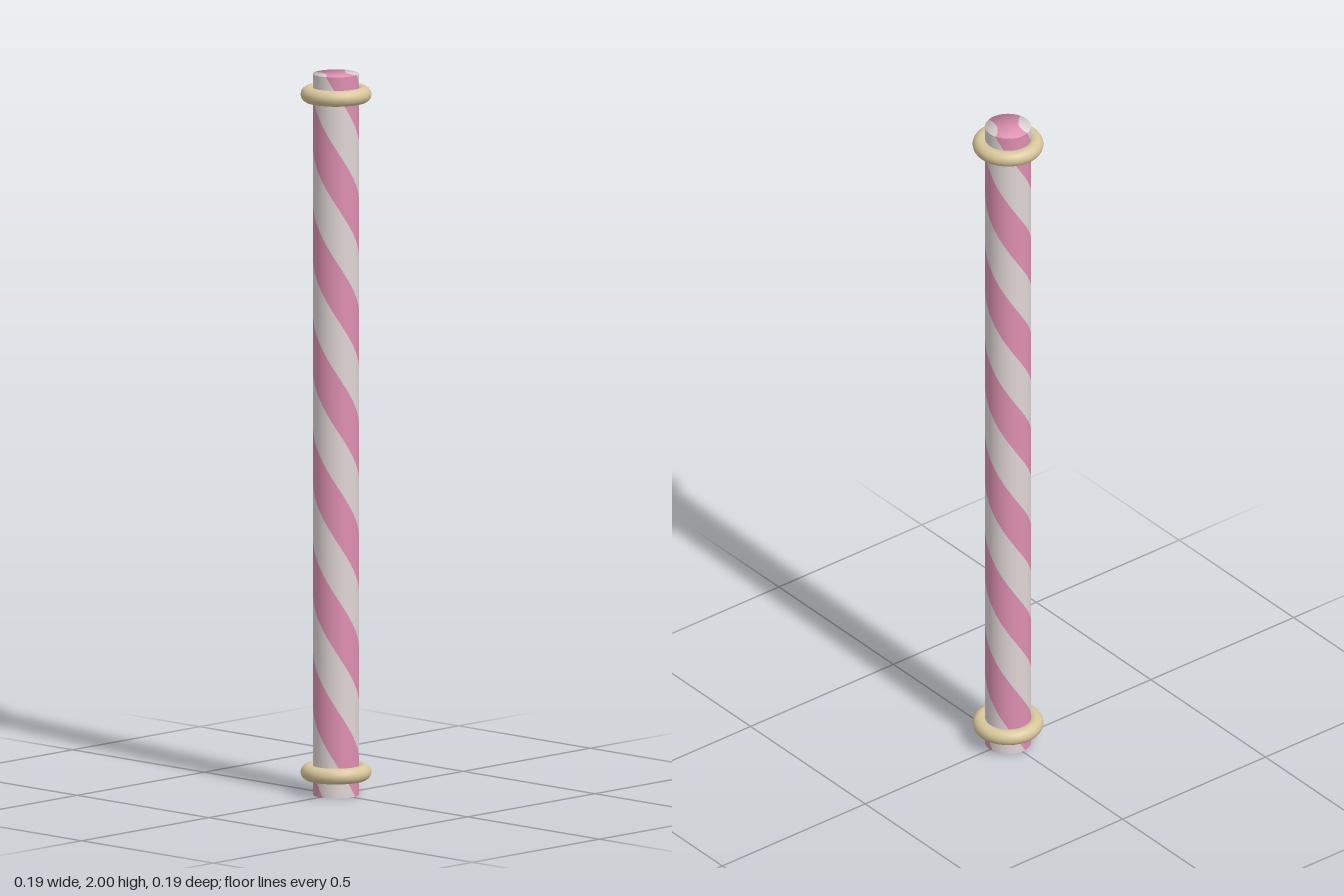
import * as THREE from 'three';

const R = 0.063, H = 2, LEAD = 0.62;
const TOP_START = THREE.MathUtils.degToRad(18); // where a pink stripe begins at the top rim

// Quarter of a tube wall, twisted into a helical ribbon
function ribbon(start) {
  const g = new THREE.CylinderGeometry(R, R, H, 10, 120, true, start, Math.PI / 2);
  g.translate(0, H / 2, 0);
  const p = g.attributes.position, n = g.attributes.normal;
  const v = new THREE.Vector3(), up = new THREE.Vector3(0, 1, 0);
  for (let i = 0; i < p.count; i++) {
    const turn = (H - p.getY(i)) / LEAD * Math.PI * 2;
    for (const a of [p, n]) {
      v.fromBufferAttribute(a, i).applyAxisAngle(up, turn);
      a.setXYZ(i, v.x, v.y, v.z);
    }
  }
  return g;
}

const at = (angle, r) => [Math.cos(angle) * r, Math.sin(angle) * r];

// Rim patch spanning a quarter circle, bulging in towards the centre
function patchShape(mid) {
  const a = mid - Math.PI / 4, b = mid + Math.PI / 4;
  const s = new THREE.Shape();
  s.moveTo(...at(a, R));
  s.absarc(0, 0, R, a, b, false);
  s.quadraticCurveTo(...at(mid, 0.0155), ...at(a, R));
  return s;
}

// Band left between the two patches
function bandShape(mid) {
  const q = Math.PI / 4;
  const s = new THREE.Shape();
  s.moveTo(...at(mid + q, R));
  s.absarc(0, 0, R, mid + q, mid + 3 * q, false);
  s.quadraticCurveTo(...at(mid + Math.PI, 0.0155), ...at(mid + 5 * q, R));
  s.absarc(0, 0, R, mid + 5 * q, mid + 7 * q, false);
  s.quadraticCurveTo(...at(mid, 0.0155), ...at(mid + q, R));
  return s;
}

// Flat end face whose normals blend softly into the wall
function capGeometry(shapes, y, dir) {
  const g = new THREE.ShapeGeometry(shapes, 14);
  g.rotateX(-dir * Math.PI / 2);
  const p = g.attributes.position, v = new THREE.Vector3();
  for (let i = 0; i < p.count; i++) {
    v.set(p.getX(i) / R, dir, p.getZ(i) / R).normalize();
    g.attributes.normal.setXYZ(i, v.x, v.y, v.z);
  }
  g.translate(0, y, 0);
  return g;
}

export function createModel() {
  const mat = (name, color) => {
    const m = new THREE.MeshStandardMaterial({ color });
    m.name = name;
    return m;
  };
  const pink = mat('pink', 0xdd8fb0);
  const white = mat('warm white', 0xdfd6d5);
  const gold = mat('pale gold', 0xd8c79c);

  const model = new THREE.Group();
  model.name = 'stripedPole';
  const add = (name, geometry, material) => {
    const m = new THREE.Mesh(geometry, material);
    m.name = name;
    model.add(m);
    return m;
  };

  // Pole wall: alternating helical stripes
  for (let i = 0; i < 4; i++) {
    add(i % 2 ? 'whiteStripe' : 'pinkStripe',
      ribbon(TOP_START + i * Math.PI / 2), i % 2 ? white : pink);
  }

  // End faces: pink band with white patches on top, the reverse below
  const topMid = TOP_START + Math.PI / 4;
  const bottomMid = -(TOP_START + Math.PI / 4 + H / LEAD * Math.PI * 2) + Math.PI / 2;
  const patches = (mid) => [patchShape(mid), patchShape(mid + Math.PI)];
  add('topBand', capGeometry(bandShape(topMid), H, 1), pink);
  add('topPatches', capGeometry(patches(topMid), H, 1), white);
  add('bottomBand', capGeometry(bandShape(bottomMid), 0, -1), white);
  add('bottomPatches', capGeometry(patches(bottomMid), 0, -1), pink);

  // Collar rings near both ends
  for (const [name, y] of [['lowerRing', 0.063], ['upperRing', 1.943]]) {
    const ring = add(name, new THREE.TorusGeometry(0.075, 0.022, 16, 40), gold);
    ring.rotation.x = Math.PI / 2;
    ring.position.y = y;
  }
  return model;
}
